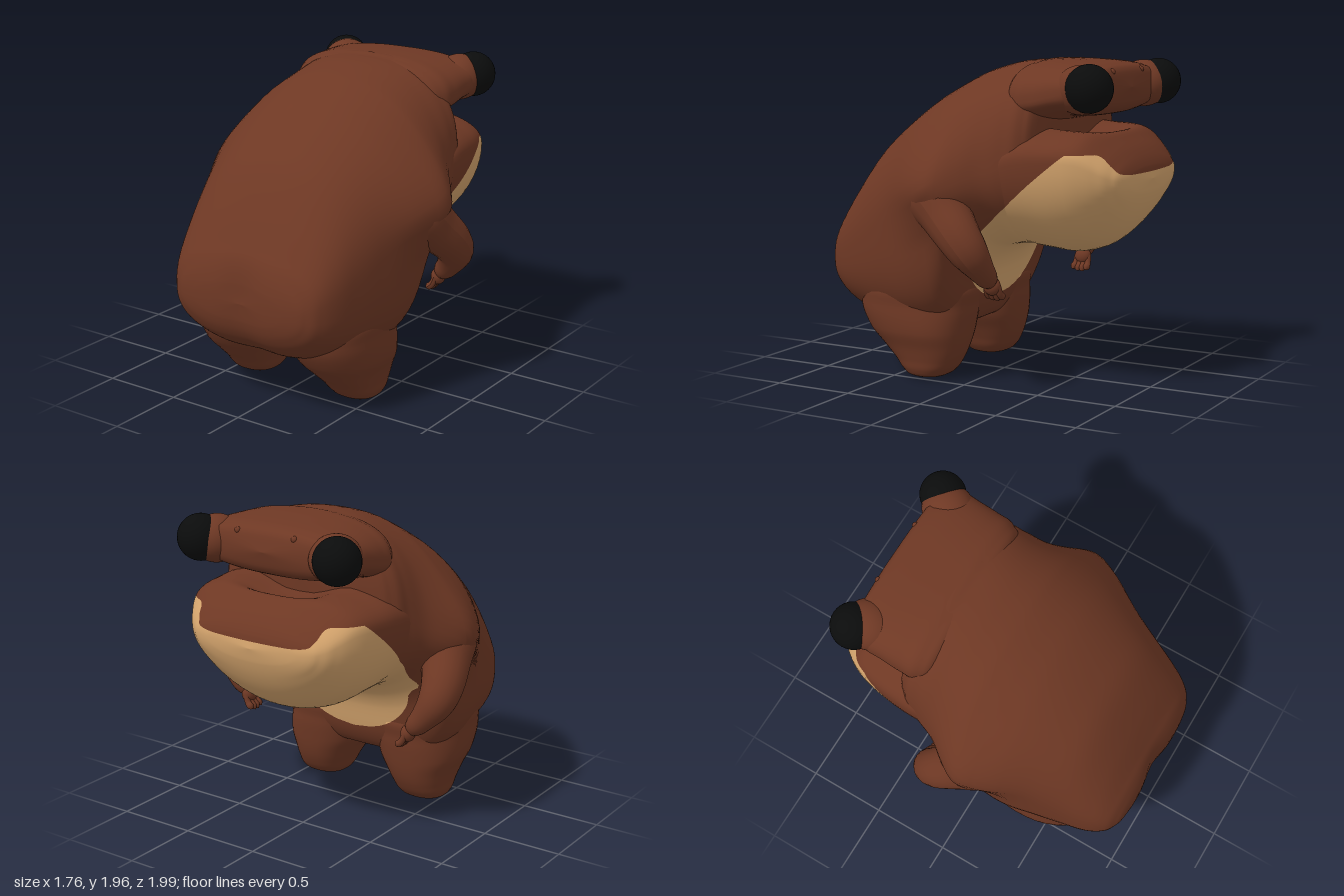
import * as THREE from 'three';

const mat = (name, color) => Object.assign(new THREE.MeshStandardMaterial({ color }), { name });
const smooth = THREE.MathUtils.smoothstep;

// Height of the pale throat edge, and the pale oval on the belly: positive means pale
function paleness(p) {
  const lip = 1.43 - 0.13 * smooth(-p.z, 0.84, 1.0);
  const throat = Math.min(Math.min(lip, 1.02 + (-0.22 - p.z) * 0.83) - p.y, -0.04 - p.z);
  const oval = 1 - (p.x / 0.46) ** 2 - ((p.y - 0.85) / 0.38) ** 2;
  return Math.max(throat, Math.min(oval * 0.3, 0.16 - p.z));
}

// Smooth interpolation through rows whose first value is the station
function sampleRows(rows, t) {
  const f = t * (rows.length - 1), i = Math.min(Math.floor(f), rows.length - 2), u = f - i;
  const row = (k) => rows[Math.max(0, Math.min(rows.length - 1, k))];
  const [r0, r1, r2, r3] = [row(i - 1), row(i), row(i + 1), row(i + 2)], h = r2[0] - r1[0];
  return r1.map((p1, c) => {
    const p2 = r2[c], a = ((p2 - r0[c]) / (r2[0] - r0[0])) * h, b = ((r3[c] - p1) / (r3[0] - r1[0])) * h;
    return p1 + u * (a + u * (3 * (p2 - p1) - 2 * a - b + u * (2 * (p1 - p2) + a + b)));
  });
}

// Loft of rounded sections; rows are [station, low, high, middle, half width, upper and lower squareness]
function loft(rows, place, around = 64, perRow = 6) {
  const steps = (rows.length - 1) * perRow, pos = [], index = [];
  for (let i = 0; i <= steps; i++) {
    const [s, lo, hi, mid, w, nTop, nLow] = sampleRows(rows, i / steps);
    for (let j = 0; j < around; j++) {
      const t = (j / around) * Math.PI * 2, c = Math.cos(t), d = Math.sin(t), n = d > 0 ? nTop : nLow;
      const x = w * Math.sign(c) * Math.abs(c) ** (2 / n);
      const h = mid + (d > 0 ? hi - mid : lo - mid) * Math.abs(d) ** (2 / n);
      pos.push(...place(x, h, s));
    }
  }
  for (let i = 0; i < steps; i++) for (let j = 0; j < around; j++) {
    const a = i * around + j, b = i * around + ((j + 1) % around);
    index.push(a, a + around, b, b, a + around, b + around);
  }
  const g = new THREE.BufferGeometry();
  g.setAttribute('position', new THREE.Float32BufferAttribute(pos, 3));
  g.setIndex(index);
  g.computeVertexNormals();
  return g;
}

// Cut a skin along the pale border into two material groups: 0 brown, 1 pale
function splitSkin(g) {
  const P = g.attributes.position, N = g.attributes.normal, out = [[], []];
  const vert = (i) => {
    const p = new THREE.Vector3().fromBufferAttribute(P, i);
    return { p, n: new THREE.Vector3().fromBufferAttribute(N, i), f: paleness(p) };
  };
  const cut = (a, b) => {
    const t = a.f / (a.f - b.f);
    return { p: a.p.clone().lerp(b.p, t), n: a.n.clone().lerp(b.n, t).normalize(), f: 0 };
  };
  for (let k = 0; k < g.index.count; k += 3) {
    const tri = [0, 1, 2].map((o) => vert(g.index.getX(k + o)));
    [-1, 1].forEach((side, slot) => {
      const poly = [];
      tri.forEach((a, i) => {
        const b = tri[(i + 1) % 3];
        const inA = side > 0 ? a.f > 0 : a.f <= 0, inB = side > 0 ? b.f > 0 : b.f <= 0;
        if (inA) poly.push(a);
        if (inA !== inB) poly.push(cut(a, b));
      });
      for (let i = 1; i + 1 < poly.length; i++) out[slot].push(poly[0], poly[i], poly[i + 1]);
    });
  }
  const all = out[0].concat(out[1]), r = new THREE.BufferGeometry();
  r.setAttribute('position', new THREE.Float32BufferAttribute(all.flatMap((v) => v.p.toArray()), 3));
  r.setAttribute('normal', new THREE.Float32BufferAttribute(all.flatMap((v) => v.n.toArray()), 3));
  r.addGroup(0, out[0].length, 0);
  r.addGroup(out[0].length, out[1].length, 1);
  return r;
}

// Tube whose radius follows a list of values, one for each point
function taperedTube(points, radii, segs = 32, sides = 20) {
  const curve = new THREE.CatmullRomCurve3(points.map((p) => new THREE.Vector3(...p)));
  const g = new THREE.TubeGeometry(curve, segs, 1, sides), P = g.attributes.position;
  const v = new THREE.Vector3(), rows = radii.map((r, i) => [i, r]);
  for (let i = 0; i < P.count; i++) {
    const u = Math.floor(i / (sides + 1)) / segs, c = curve.getPointAt(u);
    const r = sampleRows(rows, curve.getUtoTmapping(u))[1];
    v.fromBufferAttribute(P, i).sub(c).multiplyScalar(Math.max(r, 0.001)).add(c);
    P.setXYZ(i, v.x, v.y, v.z);
  }
  g.computeVertexNormals();
  return g;
}

export function createModel() {
  const root = new THREE.Group();
  root.name = 'frog';
  const brown = mat('brownSkin', 0x6e3824), tan = mat('paleBelly', 0xd3a36c), black = mat('blackEye', 0x0b0c0c);
  const add = (name, geo, material) => {
    const m = new THREE.Mesh(geo, material);
    m.name = name;
    root.add(m);
    return m;
  };
  const skin = (name, geo) => add(name, splitSkin(geo), [brown, tan]);

  // Hunched torso with swelling shoulders and a cleft between the buttocks
  skin('torso', loft([
    [1.0, 0.7, 0.7, 0.7, 0, 2, 2], [0.985, 0.58, 0.83, 0.7, 0.34, 2.2, 2.3], [0.95, 0.49, 0.95, 0.7, 0.47, 2.4, 2.5],
    [0.9, 0.43, 1.04, 0.72, 0.53, 2.5, 2.7], [0.8, 0.36, 1.22, 0.75, 0.58, 2.4, 2.8], [0.65, 0.31, 1.44, 0.84, 0.62, 2.3, 3],
    [0.5, 0.29, 1.58, 0.95, 0.66, 2.2, 3.2], [0.3, 0.29, 1.73, 1.06, 0.71, 2.1, 3.4], [0.14, 0.32, 1.82, 1.13, 0.72, 2.1, 3.3],
    [0.06, 0.43, 1.86, 1.17, 0.72, 2.1, 3], [0.0, 0.66, 1.885, 1.2, 0.71, 2.15, 2.6], [-0.1, 0.79, 1.915, 1.25, 0.68, 2.2, 2.3],
    [-0.2, 0.825, 1.937, 1.3, 0.65, 2.3, 2.2], [-0.32, 0.845, 1.945, 1.34, 0.635, 2.5, 2.2], [-0.43, 0.95, 1.935, 1.4, 0.6, 2.5, 2.2],
    [-0.5, 1.35, 1.75, 1.55, 0.42, 2.5, 2.2], [-0.51, 1.57, 1.57, 1.57, 0, 2, 2],
  ], (x, y, z) => {
    const low = smooth(1.1 - y, 0, 0.4) * smooth(z, 0.5, 0.9);
    const lift = (y - 1.2) / (y > 1.2 ? 0.31 : 0.19);
    const shoulder = 0.18 * Math.exp(-(lift ** 2) - ((z - 0.05) / 0.27) ** 2);
    return [x * (1 + shoulder), y, z - 0.035 * low * Math.exp(-((x / 0.13) ** 2))];
  }, 72));

  // Flat upper head ending in the upper lip
  skin('upperHead', loft([
    [-0.22, 1.72, 1.72, 1.72, 0, 2, 2], [-0.27, 1.6, 1.9, 1.72, 0.42, 2.3, 2.3], [-0.36, 1.57, 1.947, 1.71, 0.545, 2.5, 2.3],
    [-0.47, 1.59, 1.953, 1.72, 0.56, 2.6, 2.4], [-0.6, 1.62, 1.948, 1.75, 0.56, 2.7, 2.5], [-0.7, 1.625, 1.94, 1.77, 0.56, 2.7, 2.5],
    [-0.78, 1.645, 1.925, 1.78, 0.52, 2.6, 2.5], [-0.83, 1.69, 1.89, 1.79, 0.45, 2.5, 2.4], [-0.86, 1.79, 1.79, 1.79, 0, 2.2, 2.2],
  ], (x, y, z) => [x, y, z]));

  // Pouch-like lower jaw, hollowed behind the lip
  skin('lowerJaw', loft([
    [-0.08, 1.2, 1.2, 1.2, 0, 2, 2], [-0.12, 1.0, 1.35, 1.22, 0.45, 2.2, 2], [-0.22, 0.86, 1.51, 1.3, 0.62, 2.3, 2.1],
    [-0.33, 0.825, 1.57, 1.35, 0.65, 2.4, 2.1], [-0.45, 0.81, 1.585, 1.37, 0.65, 2.5, 2.1], [-0.58, 0.8, 1.575, 1.38, 0.635, 2.5, 2.1],
    [-0.7, 0.83, 1.57, 1.38, 0.61, 2.5, 2.1], [-0.78, 0.88, 1.555, 1.37, 0.58, 2.4, 2.1], [-0.86, 0.96, 1.49, 1.33, 0.53, 2.3, 2.1],
    [-0.93, 1.06, 1.42, 1.29, 0.46, 2.2, 2.1], [-0.98, 1.17, 1.34, 1.27, 0.33, 2.2, 2.1], [-1.0, 1.26, 1.26, 1.26, 0, 2, 2],
  ], (x, y, z) => {
    const dip = 0.1 * smooth(y, 1.42, 1.56) * (1 - smooth(Math.abs(x), 0.05, 0.4)) * smooth(z, -0.84, -0.66);
    return [x, y - dip, z];
  }));

  for (const [side, label] of [[1, 'left'], [-1, 'right']]) {
    // Stubby leg
    skin(label + 'Leg', loft([
      [0.0, 0.31, 0.31, 0.31, 0, 2, 2], [0.012, 0.21, 0.41, 0.31, 0.11, 2.3, 2.3], [0.05, 0.15, 0.465, 0.31, 0.16, 2.4, 2.4],
      [0.12, 0.105, 0.53, 0.31, 0.185, 2.4, 2.4], [0.2, 0.075, 0.62, 0.32, 0.215, 2.3, 2.4], [0.3, 0.055, 0.72, 0.34, 0.26, 2.3, 2.4],
      [0.45, 0.04, 0.79, 0.4, 0.28, 2.3, 2.4], [0.6, 0.06, 0.74, 0.4, 0.27, 2.3, 2.3], [0.75, 0.4, 0.4, 0.4, 0, 2, 2],
    ], (x, z, y) => [x + side * (0.385 - 0.12 * y), y, z], 40));

    // Bulging eye in a brown socket
    const eye = add(label + 'Eye', new THREE.SphereGeometry(0.139, 32, 24), black);
    eye.position.set(side * 0.484, 1.802, -0.813);
    const socket = add(label + 'EyeSocket', new THREE.SphereGeometry(0.14, 32, 24), brown);
    socket.position.set(side * 0.425, 1.79, -0.74);
    socket.scale.set(1.08, 1.02, 1.15);

    // Bent arm
    add(label + 'Arm', taperedTube([
      [side * 0.54, 1.28, 0.24], [side * 0.64, 1.16, 0.1], [side * 0.71, 1.04, -0.02], [side * 0.755, 0.93, -0.13],
      [side * 0.75, 0.85, -0.19], [side * 0.69, 0.75, -0.23], [side * 0.63, 0.68, -0.245], [side * 0.59, 0.63, -0.25],
    ], [0.08, 0.18, 0.15, 0.128, 0.112, 0.08, 0.058, 0.005]), brown);

    // Small hand with four fingers
    const palm = add(label + 'Palm', new THREE.SphereGeometry(0.055, 20, 14), brown);
    palm.position.set(side * 0.6, 0.645, -0.25);
    palm.scale.set(0.8, 1, 1);
    for (let i = 0; i < 4; i++) {
      const k = i - 1.5;
      add(label + 'Finger', taperedTube([
        [side * 0.6, 0.65, -0.25 + k * 0.025], [side * 0.58, 0.6, -0.25 + k * 0.028],
        [side * 0.555, 0.565 + Math.abs(k) * 0.008, -0.25 + k * 0.03], [side * 0.54, 0.55 + Math.abs(k) * 0.01, -0.25 + k * 0.03],
      ], [0.02, 0.02, 0.022, 0.001], 10, 10), brown);
    }

    // Nostril bump
    const nostril = add(label + 'Nostril', new THREE.SphereGeometry(0.02, 12, 8), brown);
    nostril.position.set(side * 0.2, 1.885, -0.82);
  }
  return root;
}
